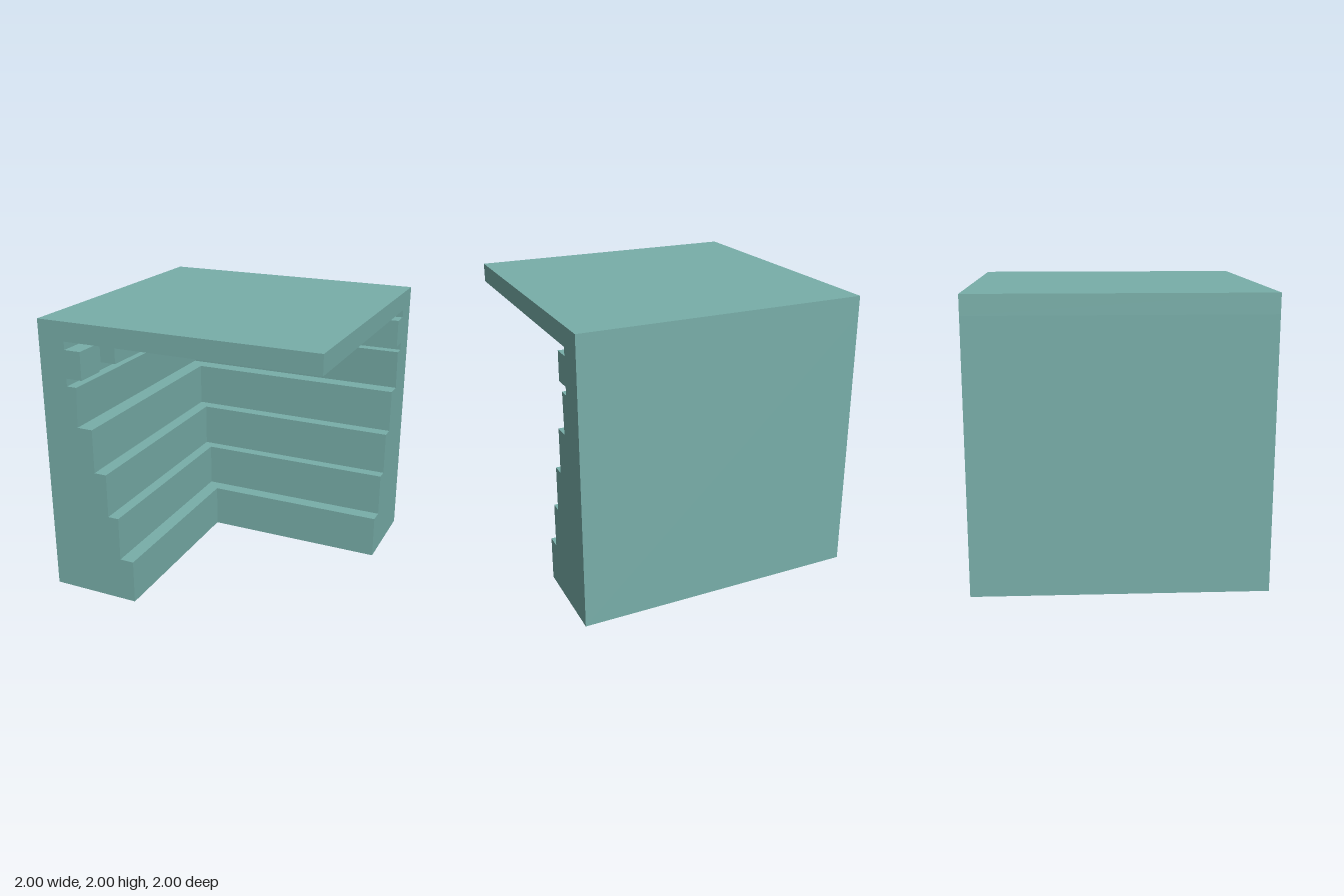
import * as THREE from 'three';

const material = new THREE.MeshStandardMaterial({ color: 0x78aea9, flatShading: true });

// Box given by its lower and upper corners
function box(name, [x0, y0, z0], [x1, y1, z1]) {
  const mesh = new THREE.Mesh(new THREE.BoxGeometry(x1 - x0, y1 - y0, z1 - z0), material);
  mesh.position.set((x0 + x1) / 2, (y0 + y1) / 2, (z0 + z1) / 2);
  mesh.name = name;
  return mesh;
}

// Sweeps a closed profile (distance, height) along two walls mitred at the corner
function cornerWalls(profile) {
  const pos = [];
  const tri = (...pts) => pts.forEach((p) => pos.push(...p));
  const quad = (a, b, c, d) => tri(a, b, c, a, c, d);
  const sideEnd = ([s, y]) => [s, y, 1];
  const corner = ([s, y]) => [s, y, s];
  const backEnd = ([s, y]) => [1, y, s];

  profile.forEach((p, i) => {
    const q = profile[(i + 1) % profile.length];
    quad(sideEnd(p), corner(p), corner(q), sideEnd(q));
    quad(corner(p), backEnd(p), backEnd(q), corner(q));
  });

  // Cut ends of both walls
  const points = profile.map(([s, y]) => new THREE.Vector2(s, y));
  for (const [a, b, c] of THREE.ShapeUtils.triangulateShape(points, [])) {
    tri(sideEnd(profile[a]), sideEnd(profile[b]), sideEnd(profile[c]));
    tri(backEnd(profile[a]), backEnd(profile[c]), backEnd(profile[b]));
  }

  const geometry = new THREE.BufferGeometry();
  geometry.setAttribute('position', new THREE.Float32BufferAttribute(pos, 3));
  geometry.computeVertexNormals();
  return geometry;
}

export function createModel() {
  const model = new THREE.Group();
  model.name = 'steppedCornerRoom';

  // Stepped walls: four tiers, a slightly battered band, then the recessed frieze
  const profile = [
    [-1, 0],
    [-0.35, 0], [-0.35, 0.317],
    [-0.453, 0.317], [-0.453, 0.635],
    [-0.533, 0.635], [-0.533, 0.952],
    [-0.624, 0.952], [-0.624, 1.268],
    [-0.738, 1.268], [-0.726, 1.555],
    [-0.8, 1.555], [-0.8, 1.865],
    [-1, 1.865],
  ];
  const walls = new THREE.Mesh(cornerWalls(profile), material);
  walls.name = 'steppedWalls';
  model.add(walls);

  // Roof slab with two stepped ceiling panels
  model.add(box('roofSlab', [-1, 1.865, -1], [1, 2, 1]));
  model.add(box('outerCeilingPanel', [-0.61, 1.833, -0.61], [0.81, 1.865, 0.81]));
  model.add(box('innerCeilingPanel', [-0.288, 1.803, -0.288], [0.49, 1.833, 0.49]));

  // Frieze blocks: a row of six and one at the open end of each wall
  const back = -0.8, front = -0.68, low = 1.61, high = 1.808;
  const frieze = new THREE.Group();
  frieze.name = 'friezeBlocks';
  const addBlocks = (start, pitch, endStart, place) => {
    for (let i = 0; i < 6; i++) place(start + i * pitch, start + (i + 1) * pitch);
    place(endStart, 1);
  };
  addBlocks(-0.6, 0.2045, 0.833, (a, b) =>
    frieze.add(box('backFriezeBlock', [a, low, back], [b, high, front])));
  addBlocks(-0.6, 0.1975, 0.78, (a, b) =>
    frieze.add(box('sideFriezeBlock', [back, low, a], [front, high, b])));
  model.add(frieze);

  return model;
}
